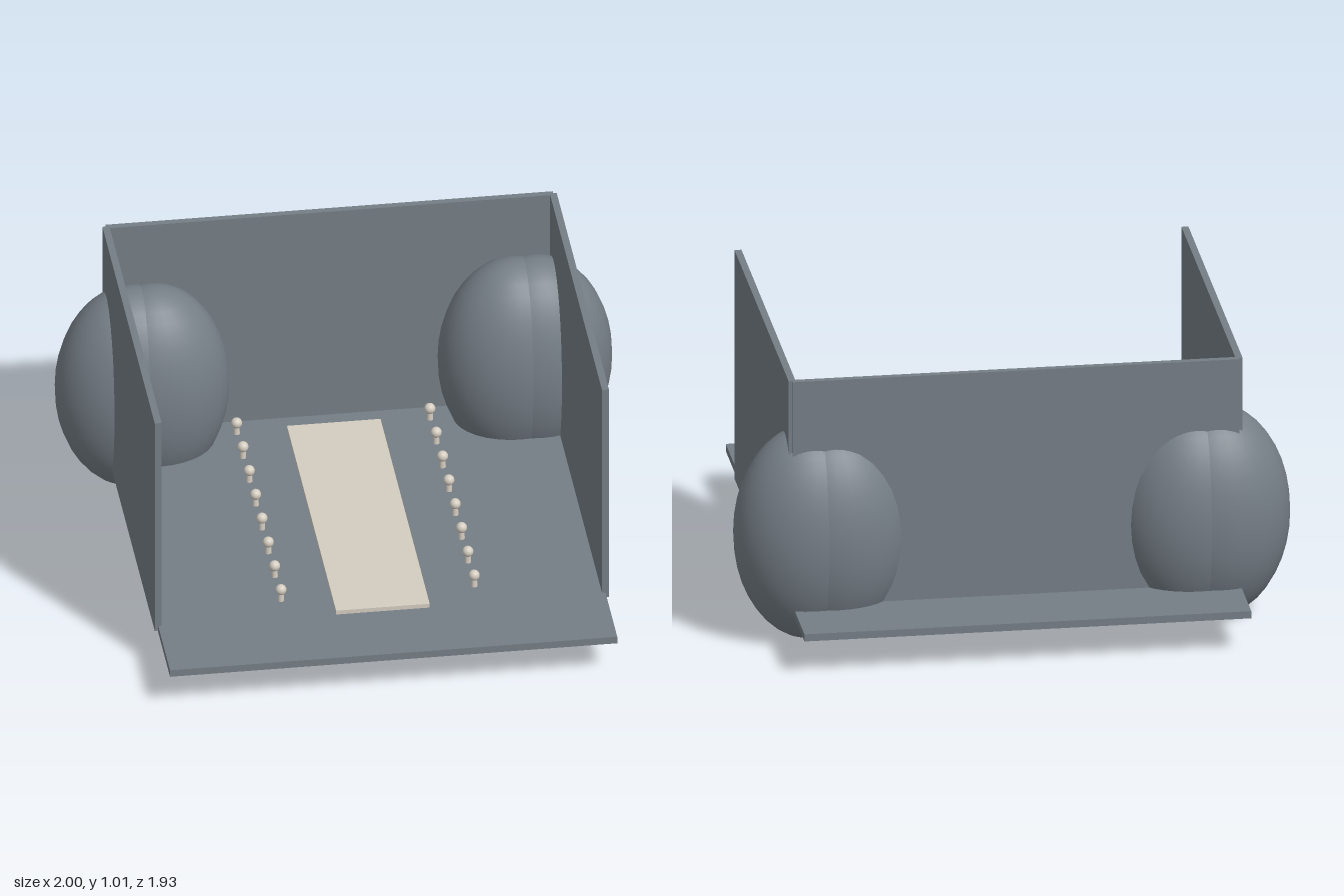
import * as THREE from 'three';

export function createModel() {
  const model = new THREE.Group();
  model.name = 'openHall';

  const grey = new THREE.MeshStandardMaterial({ color: 0x757e86 });
  grey.name = 'slate grey';
  const cream = new THREE.MeshStandardMaterial({ color: 0xd4ccc0 });
  cream.name = 'warm cream';

  const add = (name, geometry, material, x, y, z) => {
    const mesh = new THREE.Mesh(geometry, material);
    mesh.name = name;
    mesh.position.set(x, y, z);
    model.add(mesh);
    return mesh;
  };

  // Floor slab, back wall and carpet
  add('floor', new THREE.BoxGeometry(1.606, 0.027, 1.93), grey, 0, 0.146, 0);
  add('backWall', new THREE.BoxGeometry(1.606, 0.87, 0.025), grey, 0, 0.575, -0.665);
  add('carpet', new THREE.BoxGeometry(0.336, 0.016, 1.25), cream, 0, 0.176, 0.066);

  const lobe = new THREE.SphereGeometry(1, 32, 20);
  const bulb = new THREE.SphereGeometry(0.02, 16, 12);
  const base = new THREE.CylinderGeometry(0.01, 0.012, 0.036, 12);

  for (const side of [-1, 1]) {
    const label = side > 0 ? 'left' : 'right';

    // Side wall
    add(label + 'Wall', new THREE.BoxGeometry(0.025, 0.87, 1.33), grey, side * 0.803, 0.575, 0);

    // Rounded corner mass made of two overlapping lobes
    for (const [part, x] of [['InnerLobe', 0.65], ['OuterLobe', 0.725]]) {
      add(label + part, lobe, grey, side * x, 0.4, -0.567).scale.set(0.275, 0.4, 0.222);
    }

    // Row of small lamps along the carpet
    for (let i = 0; i < 8; i++) {
      const z = -0.572 + i * 0.161;
      add(label + 'LampBase', base, cream, side * 0.347, 0.177, z);
      add(label + 'LampGlobe', bulb, cream, side * 0.347, 0.204, z);
    }
  }
  return model;
}
